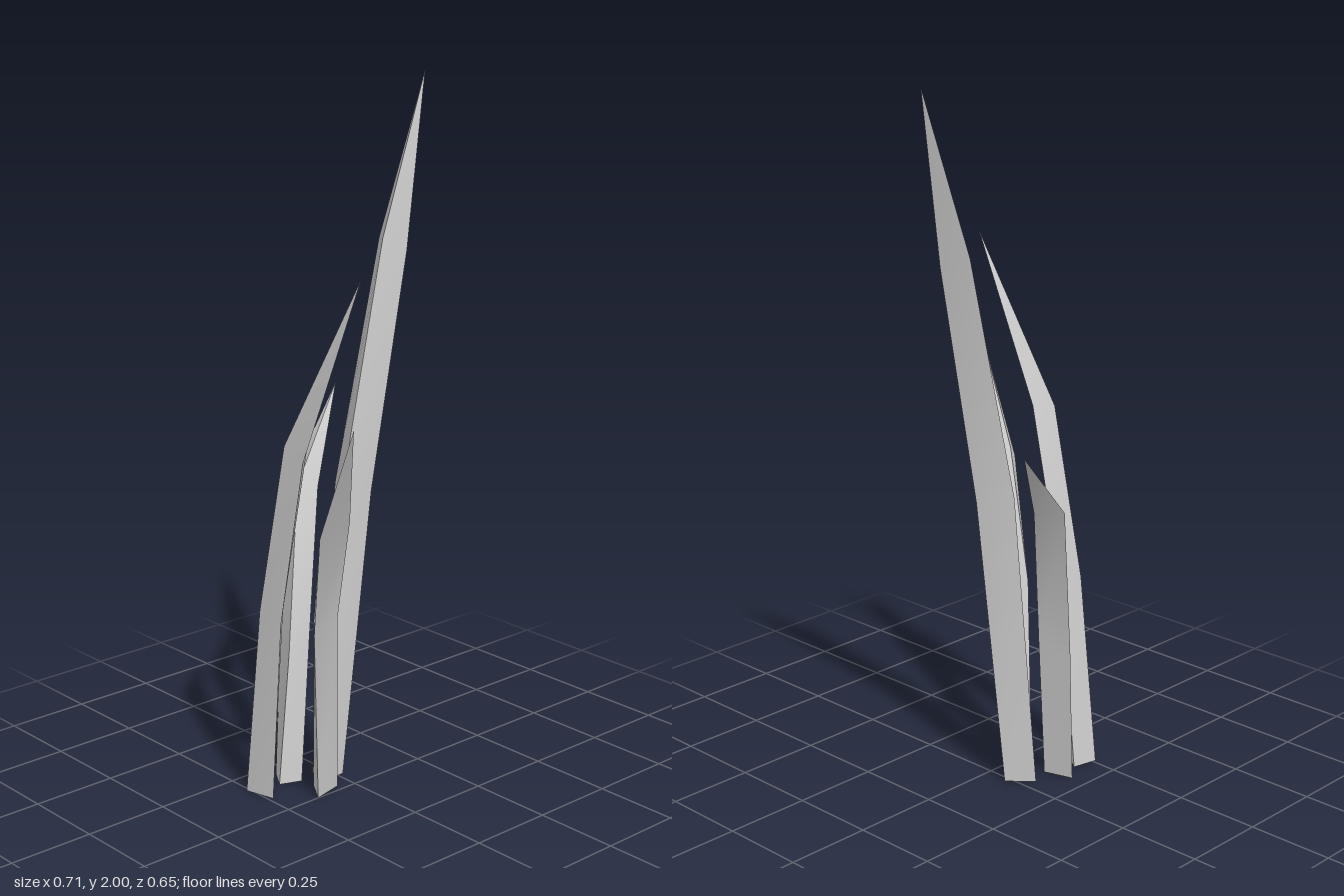
import * as THREE from 'three';
import { toCreasedNormals } from 'three/addons/utils/BufferGeometryUtils.js';

// Each blade: three triangular rings (corners run counter-clockwise from above) and a tip.
const BLADES = {
  tallBackBlade: {
    rings: [
      [[-0.14, 0, 0.04], [-0.07, 0, 0.07], [-0.074, 0, -0.02]],
      [[-0.127, 0.87, -0.04], [-0.062, 0.88, -0.01], [-0.042, 0.85, -0.1]],
      [[-0.11, 1.55, -0.19], [-0.052, 1.56, -0.15], [-0.03, 1.52, -0.22]],
    ],
    tip: [-0.075, 2, -0.327],
  },
  frontBlade: {
    rings: [
      [[-0.156, 0, 0.185], [-0.172, 0, 0.26], [-0.082, 0, 0.237]],
      [[-0.1, 0.56, 0.178], [-0.115, 0.56, 0.25], [-0.03, 0.54, 0.246]],
      [[0.0, 1.06, 0.168], [-0.02, 1.05, 0.237], [0.06, 1.02, 0.24]],
    ],
    tip: [0.21, 1.53, 0.168],
  },
  rightBlade: {
    rings: [
      [[-0.2, 0, 0.128], [-0.14, 0, 0.165], [-0.115, 0, 0.102]],
      [[-0.225, 0.4, 0.085], [-0.157, 0.38, 0.11], [-0.138, 0.42, 0.05]],
      [[-0.27, 0.85, 0.005], [-0.215, 0.85, 0.025], [-0.195, 0.84, -0.035]],
    ],
    tip: [-0.357, 1.08, -0.248],
  },
  leftBlade: {
    rings: [
      [[-0.07, 0, 0.097], [0, 0, 0.14], [-0.022, 0, 0.047]],
      [[0, 0.54, 0.153], [0.05, 0.52, 0.195], [0.045, 0.55, 0.105]],
      [[0.148, 0.89, 0.235], [0.178, 0.85, 0.285], [0.19, 0.88, 0.19]],
    ],
    tip: [0.355, 1.19, 0.325],
  },
};

// Skin the rings, close the foot and draw the last ring together at the tip.
function bladeGeometry({ rings, tip }) {
  const positions = [...rings.flat(2), ...tip];
  const index = [0, 2, 1];
  const tipIndex = rings.length * 3;
  for (let r = 0; r < rings.length; r++) {
    for (let i = 0; i < 3; i++) {
      const a = r * 3 + i;
      const b = r * 3 + ((i + 1) % 3);
      if (r === rings.length - 1) index.push(a, b, tipIndex);
      else index.push(a, b, b + 3, a, b + 3, a + 3);
    }
  }
  const geometry = new THREE.BufferGeometry();
  geometry.setAttribute('position', new THREE.Float32BufferAttribute(positions, 3));
  geometry.setIndex(index);
  // Smooth along the bend, sharp along the three ridges.
  return toCreasedNormals(geometry, 0.7);
}

export function createModel() {
  const group = new THREE.Group();
  group.name = 'grassTuft';
  const material = new THREE.MeshStandardMaterial({ color: 0xcccccc });
  for (const [name, blade] of Object.entries(BLADES)) {
    const mesh = new THREE.Mesh(bladeGeometry(blade), material);
    mesh.name = name;
    group.add(mesh);
  }
  return group;
}
